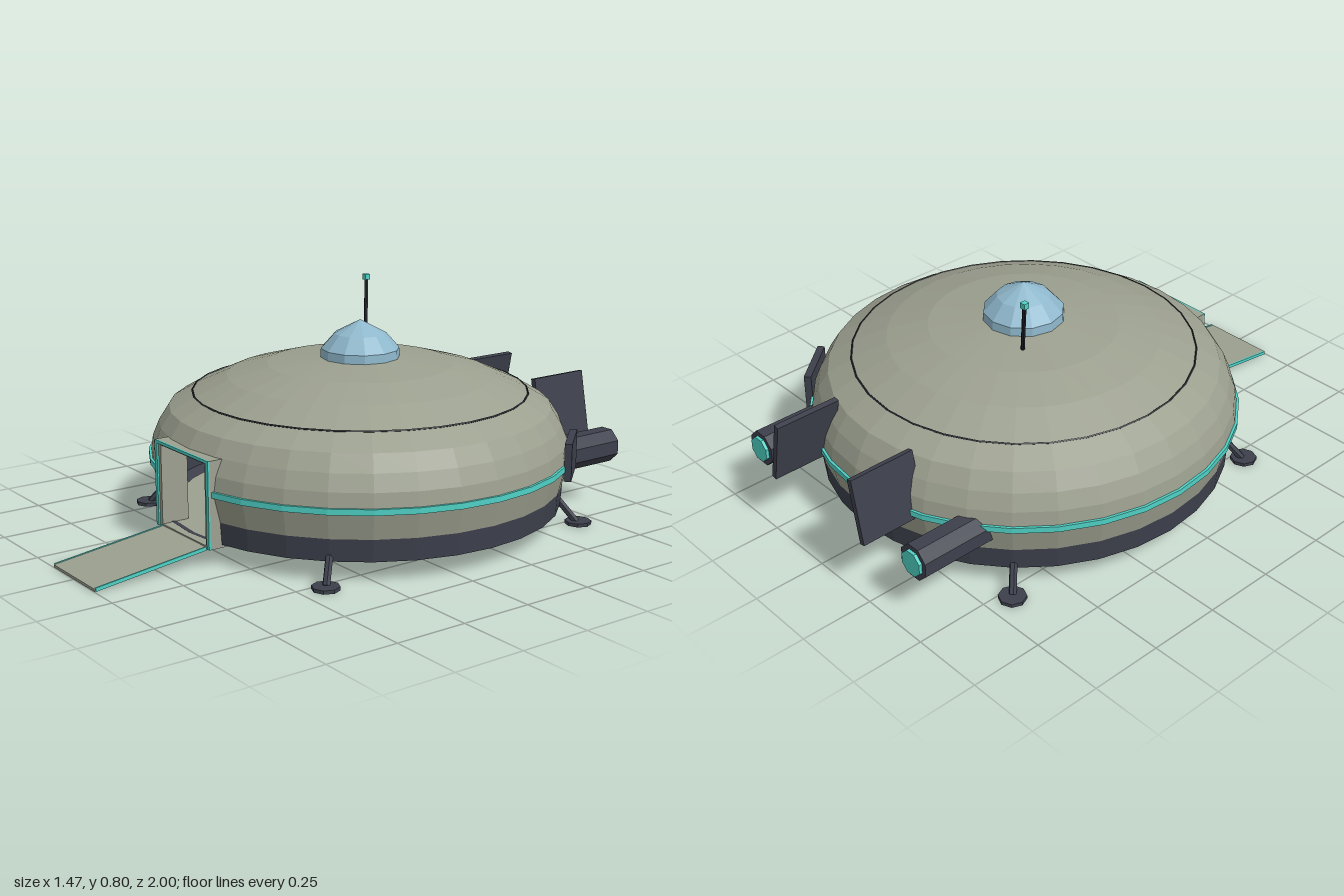
import * as THREE from 'three';

const mat = (name, color, side = THREE.FrontSide) => {
  const m = new THREE.MeshStandardMaterial({ color, flatShading: true, side });
  m.name = name;
  return m;
};

export function createModel() {
  const hullGrey = mat('hullGrey', 0x9ca08f, THREE.DoubleSide);
  const darkMetal = mat('darkMetal', 0x3d404c, THREE.DoubleSide);
  const black = mat('seamBlack', 0x22242a);
  const teal = mat('glowTeal', 0x4fd1c5, THREE.DoubleSide);
  const glass = mat('domeBlue', 0x8fb8cc);

  const model = new THREE.Group();
  model.name = 'flyingSaucer';
  const saucer = new THREE.Group(); // round parts share one axis
  saucer.name = 'saucer';
  saucer.position.z = -0.125;
  model.add(saucer);

  const add = (name, geometry, material, x = 0, y = 0, z = 0, parent = model) => {
    const mesh = new THREE.Mesh(geometry, material);
    mesh.name = name;
    mesh.position.set(x, y, z);
    parent.add(mesh);
    return mesh;
  };
  const box = (name, m, w, h, d, x, y, z, parent) => add(name, new THREE.BoxGeometry(w, h, d), m, x, y, z, parent);
  const disc = (name, m, r, h, sides, x, y, z, parent) =>
    add(name, new THREE.CylinderGeometry(r, r, h, sides), m, x, y, z, parent);
  // Rod between two points
  const rod = (name, m, a, b, r, parent) => {
    const from = new THREE.Vector3(...a), dir = new THREE.Vector3(...b).sub(from);
    const mesh = add(name, new THREE.CylinderGeometry(r, r, dir.length(), 6), m, 0, 0, 0, parent);
    mesh.position.copy(from).addScaledVector(dir, 0.5);
    mesh.quaternion.setFromUnitVectors(new THREE.Vector3(0, 1, 0), dir.normalize());
    return mesh;
  };
  // Turned shell; with a gap, two segments are left out at the front for the doorway
  const SEG = 32, STEP = (Math.PI * 2) / SEG;
  const shell = (name, m, pts, gap = false) => {
    const profile = pts.map(([r, y]) => new THREE.Vector2(r, y));
    const geo = gap
      ? new THREE.LatheGeometry(profile, SEG - 2, STEP, Math.PI * 2 - 2 * STEP)
      : new THREE.LatheGeometry(profile, SEG);
    return add(name, geo, m, 0, 0, 0, saucer);
  };

  // Hull
  shell('hullTop', hullGrey, [[0.695, 0.355], [0.66, 0.41], [0.58, 0.457], [0.46, 0.511], [0.32, 0.55], [0.14, 0.57], [0, 0.572]]);
  shell('hullSide', hullGrey, [[0.705, 0.145], [0.727, 0.24], [0.718, 0.3], [0.695, 0.355]], true);
  shell('lowerBand', darkMetal, [[0.7, 0.07], [0.705, 0.145]], true);
  shell('belly', darkMetal, [[0, 0.03], [0.43, 0.03], [0.7, 0.07]]);
  shell('lightRing', teal, [[0.722, 0.232], [0.734, 0.232], [0.734, 0.252], [0.722, 0.252]], true);
  const seam = add('seamRing', new THREE.TorusGeometry(0.579, 0.004, 4, SEG), black, 0, 0.457, 0, saucer);
  seam.rotation.x = Math.PI / 2;
  const panel = add('bellyPanel', new THREE.CircleGeometry(0.42, 10, Math.PI, Math.PI), hullGrey, 0, 0.028, 0, saucer);
  panel.rotation.x = Math.PI / 2;

  // Dome
  add('dome', new THREE.LatheGeometry(
    [[0.138, 0.562], [0.136, 0.6], [0.09, 0.652], [0, 0.699]].map(([r, y]) => new THREE.Vector2(r, y)), 12),
  glass, 0, 0, 0, saucer);

  // Antenna
  rod('antenna', black, [-0.145, 0.56, -0.26], [-0.234, 0.79, -0.33], 0.007);
  box('antennaTip', teal, 0.02, 0.02, 0.02, -0.236, 0.793, -0.331);

  // Cabin seen through the doorway
  disc('cabinFloor', hullGrey, 0.64, 0.004, SEG, 0, 0.065, 0, saucer);
  box('doorSill', hullGrey, 0.28, 0.012, 0.14, 0, 0.061, 0.525);
  box('console', darkMetal, 0.3, 0.155, 0.14, 0, 0.144, -0.25);
  box('seat', hullGrey, 0.15, 0.1, 0.12, 0, 0.116, -0.11);

  // Door frame with glowing front edge
  for (const s of [-1, 1]) {
    box('doorJamb', hullGrey, 0.03, 0.295, 0.1, s * 0.15, 0.2075, 0.545);
    box('doorJambLight', teal, 0.015, 0.295, 0.008, s * 0.1575, 0.2075, 0.597);
  }
  box('doorLintel', hullGrey, 0.33, 0.015, 0.1, 0, 0.3475, 0.545);
  box('doorLintelLight', teal, 0.33, 0.01, 0.008, 0, 0.35, 0.597);

  // Ramp
  const ramp = new THREE.Group();
  ramp.name = 'ramp';
  ramp.position.set(0, 0.032, 0.794);
  ramp.rotation.x = 0.126;
  model.add(ramp);
  box('rampPlate', hullGrey, 0.27, 0.01, 0.413, 0, 0, 0, ramp);
  for (const s of [-1, 1]) box('rampEdge', teal, 0.006, 0.012, 0.405, s * 0.136, 0.001, 0, ramp);

  // Landing legs and belly pads
  for (const sx of [-1, 1]) for (const sz of [-1, 1]) {
    rod('legStrut', darkMetal, [sx * 0.535, 0.01, sz * 0.535], [sx * 0.475, 0.11, sz * 0.475], 0.013, saucer);
    disc('foot', darkMetal, 0.046, 0.012, 8, sx * 0.54, 0.008, sz * 0.54, saucer);
    disc('bellyPad', darkMetal, 0.065, 0.022, 12, sx * 0.2, 0.02, sz * 0.2, saucer);
  }

  // Engines and inward-leaning fins
  for (const s of [-1, 1]) {
    const engine = new THREE.Group();
    engine.name = 'engine';
    engine.position.set(s * 0.4, 0.2125, -0.8);
    engine.rotation.x = -Math.PI / 2;
    model.add(engine);
    const body = disc('engineBody', darkMetal, 0.0625, 0.27, 8, 0, 0, 0, engine);
    const glow = disc('engineGlow', teal, 0.045, 0.012, 8, 0, 0.14, 0, engine);
    body.rotation.y = glow.rotation.y = Math.PI / 8;

    const fin = box('fin', darkMetal, 0.02, 0.225, 0.235, s * 0.2115, 0.325, -0.8825);
    fin.rotation.z = s * 0.2;
  }

  // Side hatch
  const hatch = box('sideHatch', darkMetal, 0.2, 0.13, 0.025, 0.562, 0.265, -0.595);
  hatch.rotation.y = 2.28;

  return model;
}
